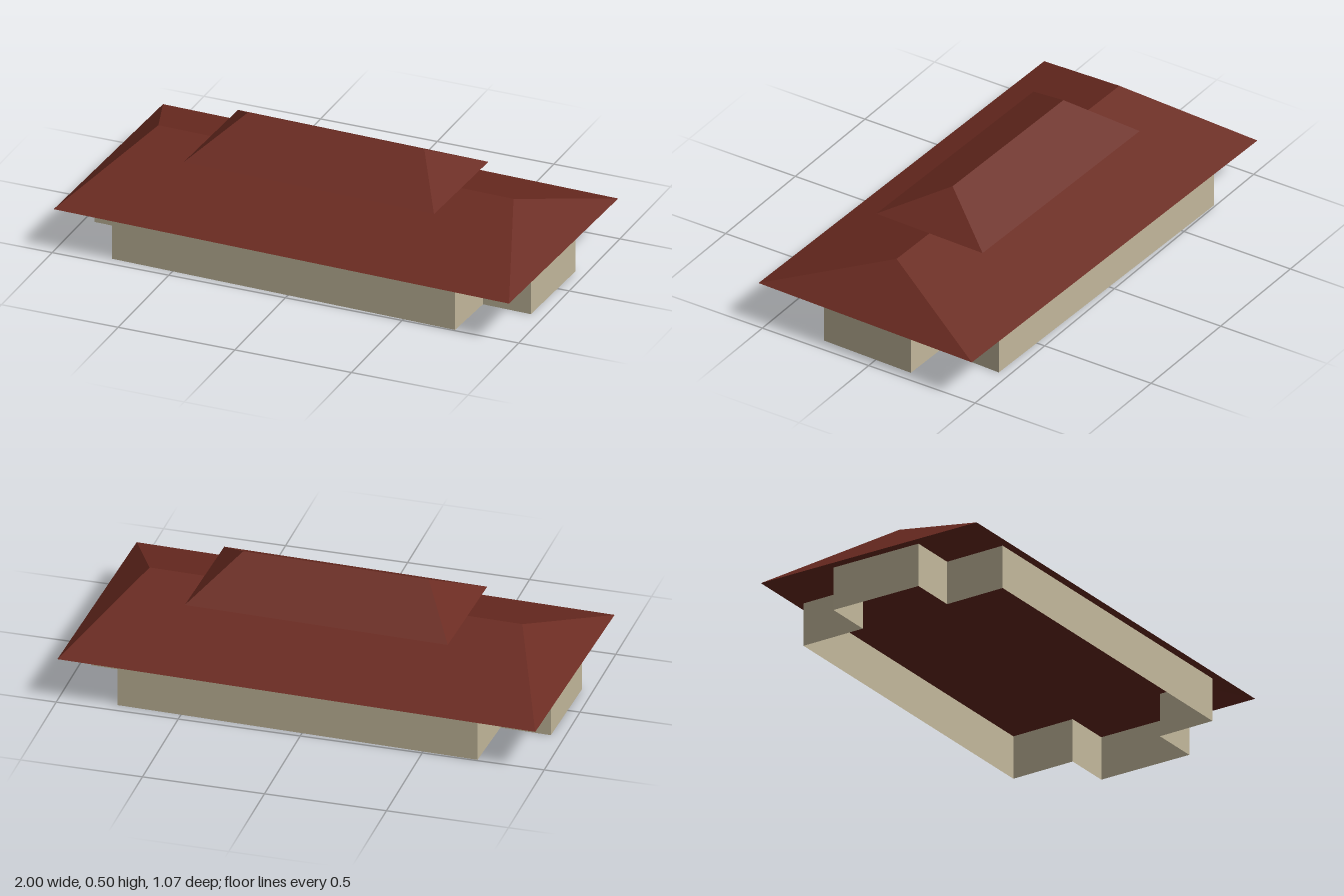
import * as THREE from 'three';

// Flat-shaded mesh from a list of quads / triangles (corners counter-clockwise from outside)
function facetMesh(name, faces, material) {
  const pos = [];
  for (const f of faces) {
    for (let i = 1; i < f.length - 1; i++) pos.push(...f[0], ...f[i], ...f[i + 1]);
  }
  const geo = new THREE.BufferGeometry();
  geo.setAttribute('position', new THREE.Float32BufferAttribute(pos, 3));
  geo.computeVertexNormals();
  const mesh = new THREE.Mesh(geo, material);
  mesh.name = name;
  return mesh;
}

// Open hip roof: rectangular eaves rising to a ridge along x
function hipRoof(name, halfX, halfZ, ridge, y0, y1, material) {
  const a = [-halfX, y0, halfZ], b = [halfX, y0, halfZ];
  const c = [halfX, y0, -halfZ], d = [-halfX, y0, -halfZ];
  const l = [-ridge, y1, 0], r = [ridge, y1, 0];
  return facetMesh(name, [[a, b, r, l], [c, d, l, r], [b, c, r], [d, a, l]], material);
}

export function createModel() {
  const roofMat = new THREE.MeshStandardMaterial({ color: 0x6a2a20, side: THREE.DoubleSide, flatShading: true });
  roofMat.name = 'roofRed';
  const wallMat = new THREE.MeshStandardMaterial({ color: 0xc2b79b, side: THREE.DoubleSide, flatShading: true });
  wallMat.name = 'wallBeige';

  const model = new THREE.Group();
  model.name = 'pavilion';

  // The whole building stands at a slight angle
  const building = new THREE.Group();
  building.name = 'building';
  building.rotation.y = -0.0255;
  model.add(building);

  // Walls: long hall with slightly skewed ends and a bay at each end, open below
  const eave = 0.184, ridge = 0.368;
  const plan = [
    [-0.75, 0.475], [0.737, 0.475], [0.741, 0.224], [0.949, 0.224],
    [0.949, -0.192], [0.746, -0.192], [0.75, -0.475], [-0.737, -0.475],
    [-0.741, -0.192], [-0.949, -0.192], [-0.949, 0.21], [-0.746, 0.21],
  ];
  const walls = plan.map(([x, z], i) => {
    const [x2, z2] = plan[(i + 1) % plan.length];
    return [[x, 0, z], [x2, 0, z2], [x2, eave, z2], [x, eave, z]];
  });
  building.add(facetMesh('walls', walls, wallMat));

  // Flat ceiling closing the walls at eave height
  const outline = new THREE.Shape(plan.map(([x, z]) => new THREE.Vector2(x, z)));
  const ceiling = new THREE.Mesh(new THREE.ShapeGeometry(outline).rotateX(Math.PI / 2), roofMat);
  ceiling.name = 'ceiling';
  ceiling.position.y = eave;
  building.add(ceiling);

  // Two tiers of hip roof
  building.add(hipRoof('lowerRoof', 0.987, 0.51, 0.77, eave, ridge, roofMat));
  building.add(hipRoof('upperRoof', 0.543, 0.254, 0.383, ridge, 0.504, roofMat));

  return model;
}
